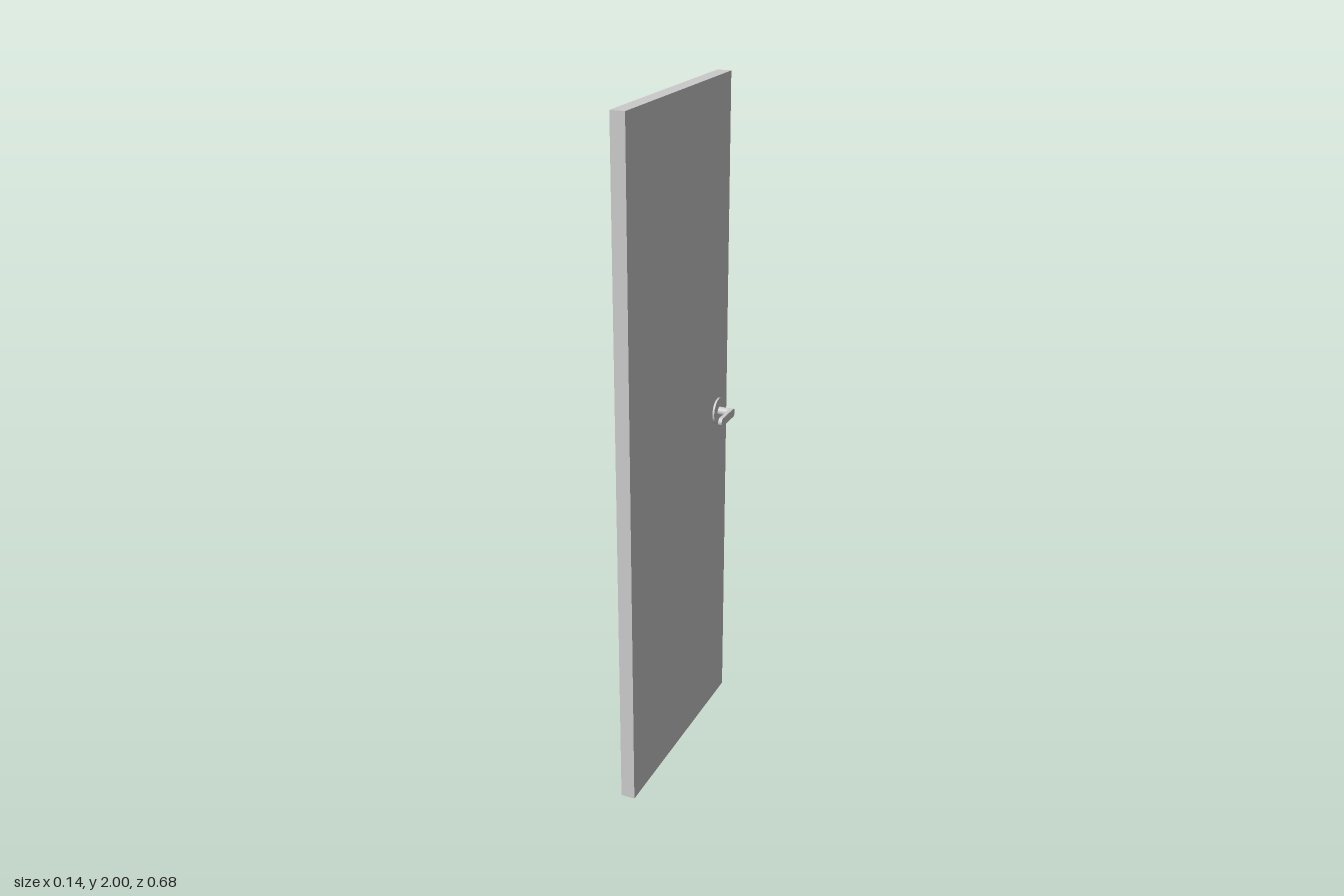
import * as THREE from 'three';

const HANDLE_Y = 1.005, HANDLE_Z = -0.269;

export function createModel() {
  const model = new THREE.Group();
  const material = new THREE.MeshStandardMaterial({ color: 0xcccccc });
  const add = (parent, name, geometry) => {
    const mesh = new THREE.Mesh(geometry, material);
    mesh.name = name;
    parent.add(mesh);
    return mesh;
  };

  // Plain door slab
  add(model, 'doorPanel', new THREE.BoxGeometry(0.042, 2, 0.68)).position.y = 1;

  // Round bar running outward along x between two distances
  const disc = (radius, x0, x1) =>
    new THREE.CylinderGeometry(radius, radius, x1 - x0, 48)
      .rotateZ(Math.PI / 2)
      .translate((x0 + x1) / 2, 0, 0);

  // Flat lever with fully rounded ends, outlined in the z-y plane
  const r = 0.0128, reach = 0.078;
  const outline = new THREE.Shape();
  outline.absarc(0, 0, r, -Math.PI / 2, Math.PI / 2, true);
  outline.absarc(reach, 0, r, Math.PI / 2, -Math.PI / 2, true);
  outline.closePath();
  const leverGeometry = new THREE.ExtrudeGeometry(outline, {
    depth: 0.0115, bevelEnabled: false, curveSegments: 24,
  }).rotateY(-Math.PI / 2).translate(0.072, 0, 0);

  // One handle on each face; half a turn about z puts the second opposite
  for (const [name, angle] of [['leftHandle', 0], ['rightHandle', Math.PI]]) {
    const handle = new THREE.Group();
    handle.name = name;
    handle.position.set(0, HANDLE_Y, HANDLE_Z);
    handle.rotation.z = angle;
    add(handle, 'rose', disc(0.04, 0.02, 0.027));
    add(handle, 'spindle', disc(r, 0.025, 0.061));
    add(handle, 'lever', leverGeometry);
    model.add(handle);
  }
  return model;
}
